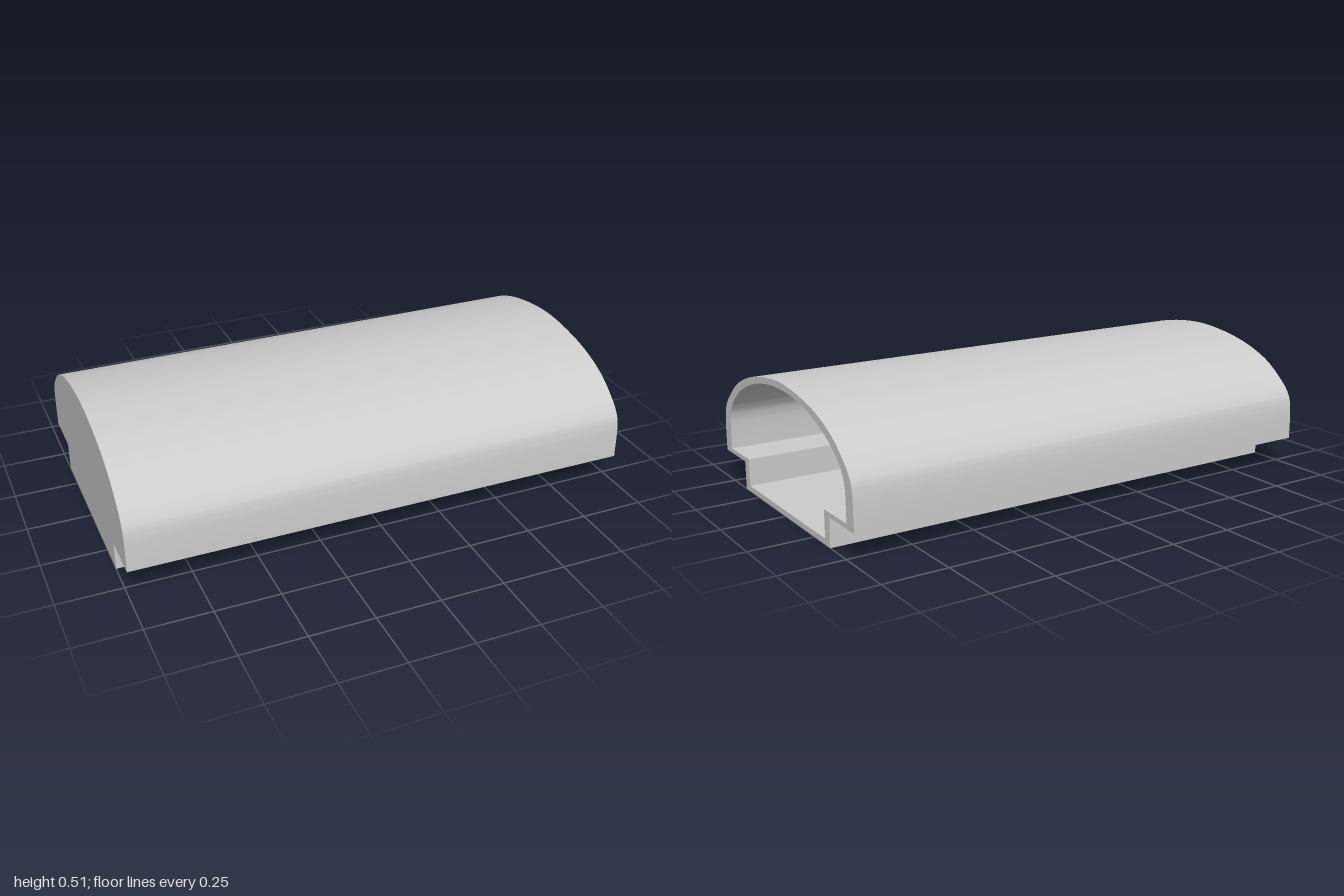
import * as THREE from 'three';
import { toCreasedNormals } from 'three/addons/utils/BufferGeometryUtils.js';

const LENGTH = 2, WALL = 0.03;

// Symmetric section: stepped foot below, domed crown above.
function section(footHalf, footY, ledgeY, dome) {
  const curve = new THREE.SplineCurve([
    ...dome.map(([u, y]) => new THREE.Vector2(u, y)),
    ...dome.slice(0, -1).reverse().map(([u, y]) => new THREE.Vector2(-u, y)),
  ]).getPoints(72);
  const side = dome[0][0];
  return [
    new THREE.Vector2(-footHalf, footY), new THREE.Vector2(footHalf, footY),
    new THREE.Vector2(footHalf, ledgeY), new THREE.Vector2(side, ledgeY),
    ...curve,
    new THREE.Vector2(-side, ledgeY), new THREE.Vector2(-footHalf, ledgeY),
  ];
}

const outer = section(0.378, 0, 0.112, [
  [0.566, 0.2], [0.562, 0.25], [0.549, 0.294], [0.505, 0.346],
  [0.4, 0.422], [0.231, 0.48], [0, 0.507],
]);
const inner = section(0.338, 0.022, 0.13, [
  [0.512, 0.21], [0.508, 0.255], [0.494, 0.295], [0.455, 0.343],
  [0.36, 0.405], [0.2, 0.461], [0, 0.482],
]);

// Extrude a section along x between two positions.
function extrudeX(name, shape, x0, x1, material) {
  const raw = new THREE.ExtrudeGeometry(shape, { depth: x1 - x0, bevelEnabled: false });
  raw.rotateY(Math.PI / 2).translate(x0, 0, 0);
  const mesh = new THREE.Mesh(toCreasedNormals(raw, Math.PI / 6), material);
  mesh.name = name;
  return mesh;
}

export function createModel() {
  const group = new THREE.Group();
  group.name = 'domedHousing';
  const material = new THREE.MeshStandardMaterial({ color: 0xcccccc });

  // Hollow shell, open at the +x end
  const ring = new THREE.Shape(outer);
  ring.holes.push(new THREE.Path(inner));
  group.add(extrudeX('shell', ring, -LENGTH / 2 + WALL, LENGTH / 2, material));

  // Solid wall closing the -x end
  group.add(extrudeX('endWall', new THREE.Shape(outer), -LENGTH / 2, -LENGTH / 2 + WALL, material));
  return group;
}
